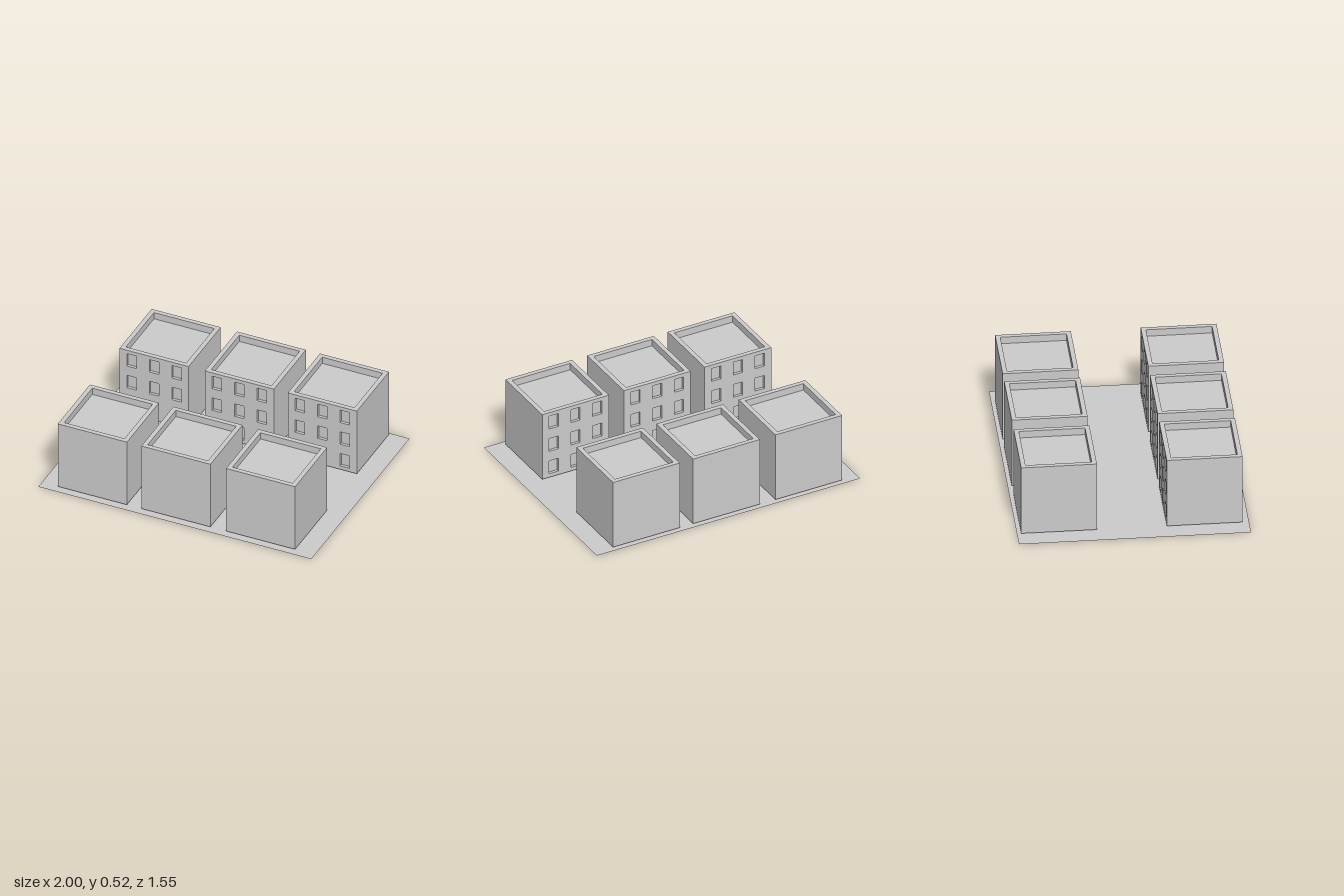
import * as THREE from 'three';
import { mergeGeometries } from 'three/addons/utils/BufferGeometryUtils.js';

const SIZE = 0.506;      // edge of each cubic block
const LIFT = 0.01;       // gap between ground sheet and blocks
const ROW_Z = 0.4875;    // distance of each row from the street centre

// Square panel facing +z, with rectangular recesses [x, y, width, height] sunk into it.
function panel(recesses = [], depth = 0) {
  const s = SIZE / 2;
  const rect = (P, x, y, w, h) => {
    const p = new P();
    p.moveTo(x - w / 2, y - h / 2);
    p.lineTo(x + w / 2, y - h / 2);
    p.lineTo(x + w / 2, y + h / 2);
    p.lineTo(x - w / 2, y + h / 2);
    p.closePath();
    return p;
  };
  const face = rect(THREE.Shape, 0, 0, SIZE, SIZE);
  const parts = [];
  for (const [x, y, w, h] of recesses) {
    face.holes.push(rect(THREE.Path, x, y, w, h));
    const plane = (a, b) => new THREE.PlaneGeometry(a, b);
    const mid = -depth / 2;
    parts.push(
      plane(w, h).translate(x, y, -depth),                                  // back
      plane(depth, h).rotateY(Math.PI / 2).translate(x - w / 2, y, mid),    // jambs
      plane(depth, h).rotateY(-Math.PI / 2).translate(x + w / 2, y, mid),
      plane(w, depth).rotateX(-Math.PI / 2).translate(x, y - h / 2, mid),   // sill
      plane(w, depth).rotateX(Math.PI / 2).translate(x, y + h / 2, mid)     // head
    );
  }
  return mergeGeometries([new THREE.ShapeGeometry(face), ...parts]).translate(0, 0, s);
}

// Block with a 3 x 3 window facade on +z and a sunken roof behind a parapet.
function blockGeometry() {
  const windows = [];
  for (const i of [-1, 0, 1]) {
    for (const j of [-1, 0, 1]) windows.push([i * 0.165, j * 0.175, 0.07, 0.1]);
  }
  const roof = SIZE - 0.064;
  return mergeGeometries([
    panel(windows, 0.02),
    panel().rotateY(Math.PI / 2),
    panel().rotateY(Math.PI),
    panel().rotateY(-Math.PI / 2),
    panel([[0, 0, roof, roof]], 0.05).rotateX(-Math.PI / 2),
    panel().rotateX(Math.PI / 2),
  ]).translate(0, SIZE / 2 + LIFT, 0);
}

export function createModel() {
  const model = new THREE.Group();
  model.name = 'cityBlock';

  // Ground sheet
  const ground = new THREE.Mesh(
    new THREE.PlaneGeometry(2, 1.55).rotateX(-Math.PI / 2),
    new THREE.MeshStandardMaterial({ color: 0xcccccc, side: THREE.DoubleSide })
  );
  ground.name = 'ground';
  model.add(ground);

  // Two rows of buildings whose windows look onto the street between them
  const geometry = blockGeometry();
  const material = new THREE.MeshStandardMaterial({ color: 0xcccccc });
  const rows = [
    { name: 'frontBuilding', z: 0.4775, turn: Math.PI, xs: [-0.625, -0.013, 0.608] },
    { name: 'backBuilding', z: -0.495, turn: 0, xs: [-0.625, 0, 0.608] },
  ];
  for (const { name, z, turn, xs } of rows) {
    xs.forEach((x, i) => {
      const building = new THREE.Mesh(geometry, material);
      building.name = name + (i + 1);
      building.position.set(x, 0, z);
      building.rotation.y = turn;
      model.add(building);
    });
  }
  return model;
}
